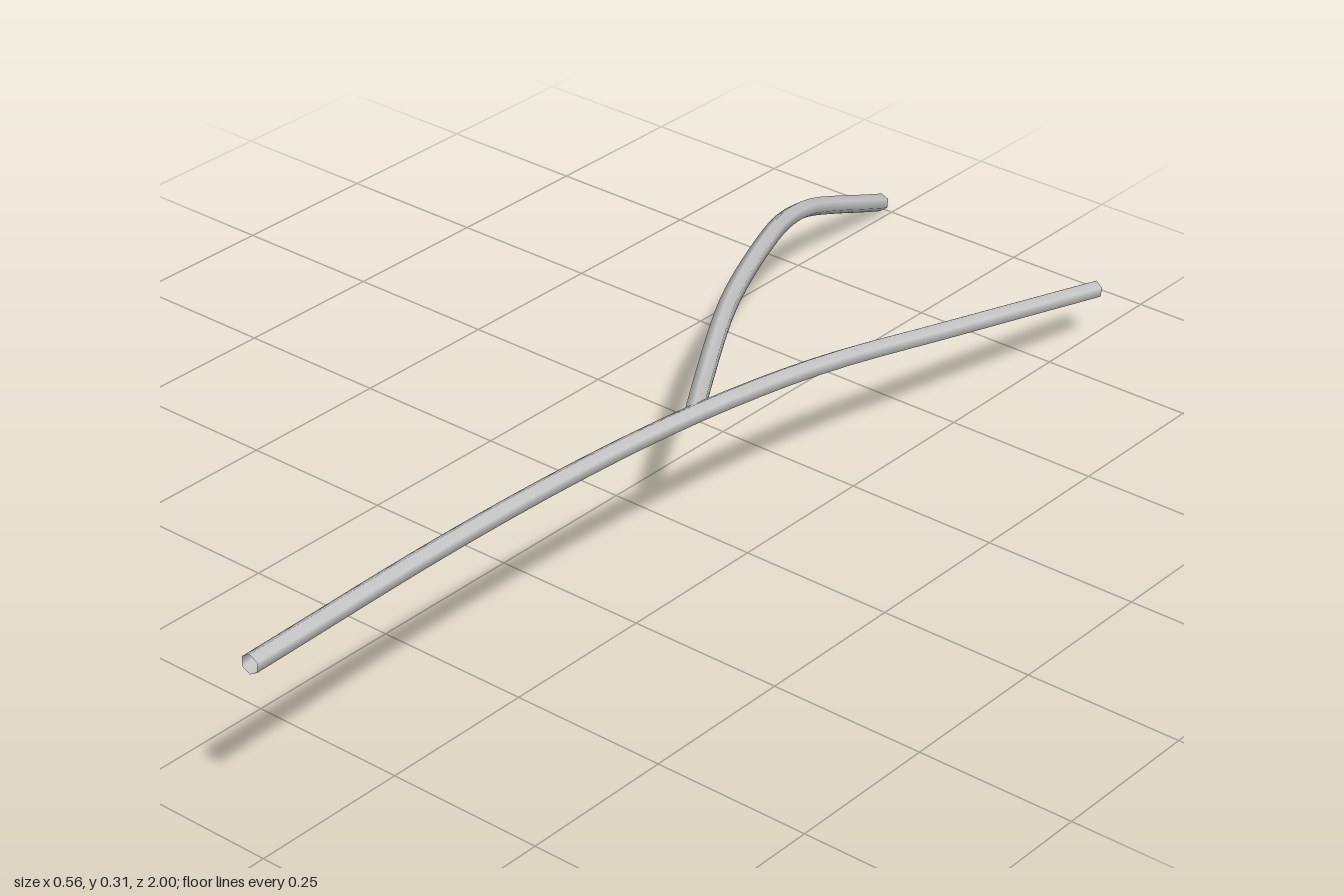
import * as THREE from 'three';

const RADIUS = 0.0148;
const SIDES = 6;

// Open, smooth-shaded six-sided pipe along a curve through the points
function pipe(name, points, segments) {
  const curve = new THREE.CatmullRomCurve3(points.map((p) => new THREE.Vector3(...p)));
  const material = new THREE.MeshStandardMaterial({ color: 0xcccccc, side: THREE.DoubleSide });
  const mesh = new THREE.Mesh(new THREE.TubeGeometry(curve, segments, RADIUS, SIDES), material);
  mesh.name = name;
  return mesh;
}

export function createModel() {
  const group = new THREE.Group();
  group.name = 'forkedPipe';

  // Long main run, sloping down toward the back
  group.add(pipe('mainPipe', [
    [0.242, 0.297, 1.0],
    [0.222, 0.286, 0.6],
    [0.213, 0.27, 0.3],
    [0.213, 0.25, 0.06],
    [0.219, 0.215, -0.2],
    [0.24, 0.16, -0.5],
    [0.267, 0.098, -0.84],
  ], 28));

  // Side branch, curving away and dropping to the ground
  group.add(pipe('branchPipe', [
    [0.212, 0.25, 0.08],
    [0.14, 0.237, -0.03],
    [0.0, 0.219, -0.26],
    [-0.11, 0.192, -0.48],
    [-0.17, 0.165, -0.61],
    [-0.205, 0.135, -0.71],
    [-0.23, 0.094, -0.81],
    [-0.25, 0.051, -0.91],
    [-0.27, 0.014, -0.995],
  ], 28));

  return group;
}
